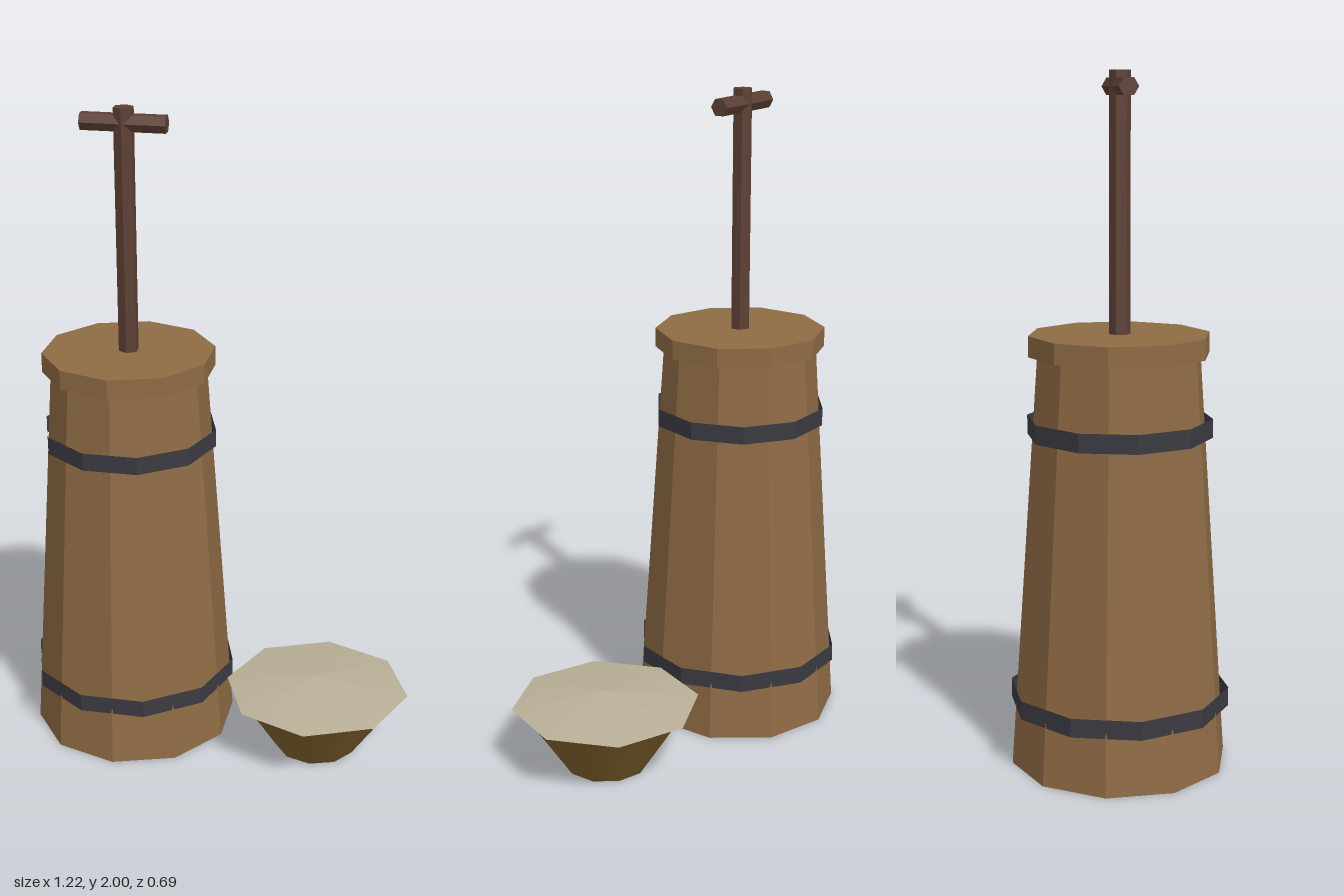
import * as THREE from 'three';

function material(name, color, options = {}) {
  const m = new THREE.MeshStandardMaterial({ color, ...options });
  m.name = name;
  return m;
}

export function createModel() {
  const model = new THREE.Group();
  model.name = 'butterChurn';

  const wood = material('staveWood', 0x8f6b45, { flatShading: true });
  const darkWood = material('handleWood', 0x5d4035, { flatShading: true });
  const iron = material('hoopIron', 0x3a3a42, { flatShading: true, side: THREE.DoubleSide });
  const ochre = material('bowlOchre', 0x80622c);
  const cream = material('cream', 0xb9af97);

  // Cylinder standing between two heights
  function column(parent, name, mat, rTop, rBottom, y0, y1, sides, open = false, turn = 0) {
    const geo = new THREE.CylinderGeometry(rTop, rBottom, y1 - y0, sides, 1, open, turn);
    const mesh = new THREE.Mesh(geo, mat);
    mesh.name = name;
    mesh.position.y = (y0 + y1) / 2;
    parent.add(mesh);
    return mesh;
  }

  // Churn: tapered ten-sided barrel with a lid
  const churn = new THREE.Group();
  churn.name = 'churn';
  churn.position.set(-0.288, 0, -0.026);
  model.add(churn);
  column(churn, 'barrel', wood, 0.237, 0.319, 0, 1.21, 10);
  column(churn, 'lid', wood, 0.263, 0.263, 1.205, 1.265, 10);

  // Open hoops, turned half a side against the staves
  for (const [name, r, y] of [['lowerHoop', 0.322, 0.17], ['upperHoop', 0.268, 0.97]]) {
    column(churn, name, iron, r, r, y, y + 0.055, 10, true, Math.PI / 10);
  }

  // Plunger pole and cross handle
  column(churn, 'pole', darkWood, 0.031, 0.031, 1.2, 2, 6);
  const handle = column(churn, 'crossHandle', darkWood, 0.028, 0.028, 1.828, 2.082, 6);
  handle.rotation.z = Math.PI / 2;

  // Bowl heaped with cream
  const bowl = new THREE.Group();
  bowl.name = 'bowl';
  bowl.position.set(0.32, 0, 0.053);
  model.add(bowl);
  column(bowl, 'bowlBody', ochre, 0.257, 0.128, 0, 0.197, 10);
  column(bowl, 'creamHeap', cream, 0, 0.287, 0.203, 0.242, 8);

  return model;
}
